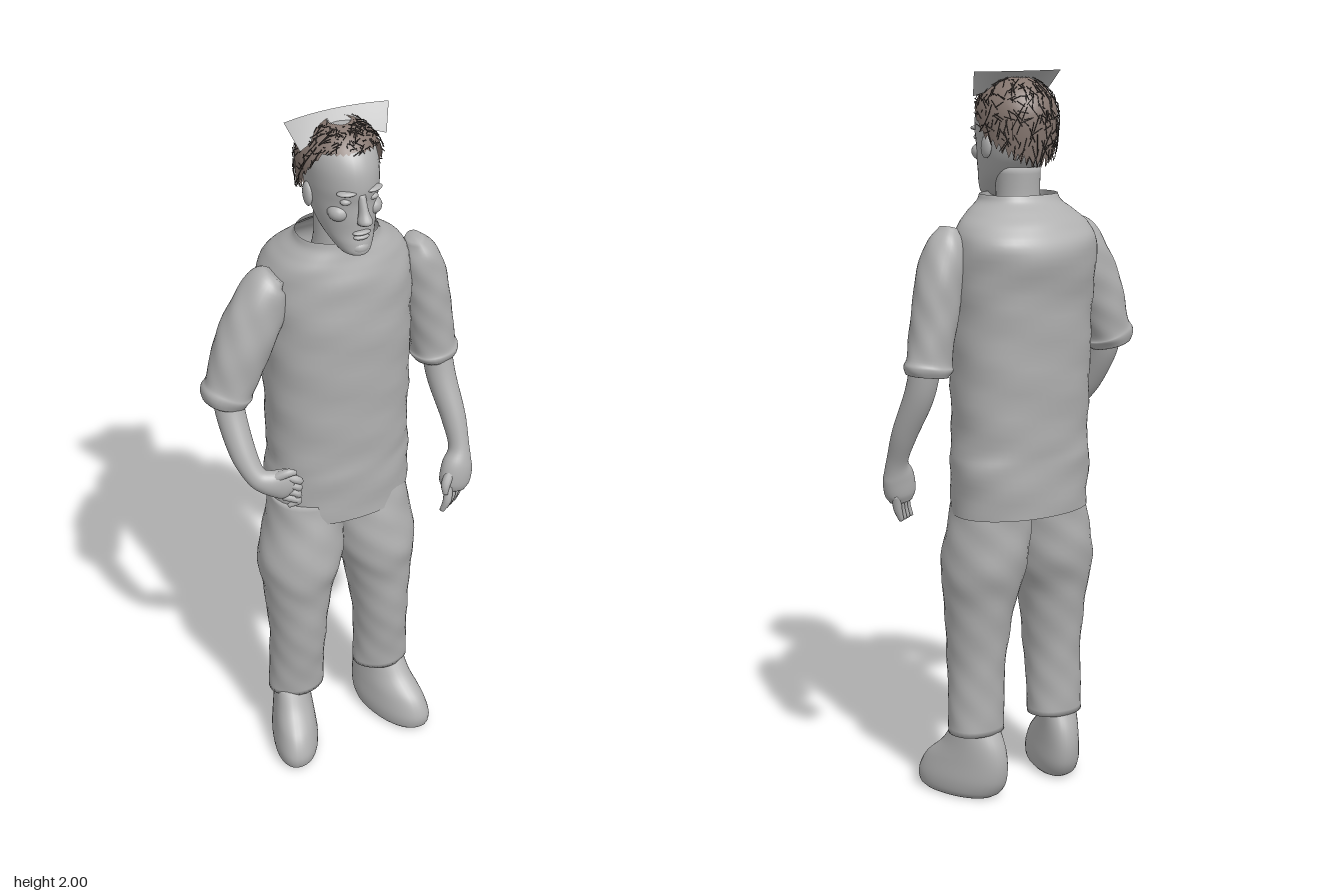
import * as THREE from 'three';
import { mergeGeometries } from 'three/addons/utils/BufferGeometryUtils.js';

const grey = new THREE.MeshStandardMaterial({ color: 0xb0b0b0, side: THREE.DoubleSide });
grey.name = 'clay grey';
const hairMat = new THREE.MeshStandardMaterial({ color: 0x85766f, side: THREE.DoubleSide });
hairMat.name = 'hair brown';
const strandMat = new THREE.MeshStandardMaterial({ color: 0x4a423f });
strandMat.name = 'dark strand';

// Skin rings [x, y, z, radiusA, radiusB] along a smooth path.
// flat keeps the rings horizontal; fold adds soft cloth wrinkles; n squares the ring.
function loft(sections, { flat = false, caps = true, fold = 0, n = 2, rows = 6, sides = 32 } = {}) {
  const path = new THREE.CatmullRomCurve3(sections.map(s => new THREE.Vector3(s[0], s[1], s[2])), false, 'catmullrom');
  const radii = new THREE.CatmullRomCurve3(sections.map(s => new THREE.Vector3(s[3], s[4], 0)), false, 'catmullrom');
  const count = (sections.length - 1) * rows, pos = [], idx = [];
  const up = Math.sign(sections[sections.length - 1][1] - sections[0][1]);
  const ref = new THREE.Vector3(0, 0, 1);
  const pw = v => Math.sign(v) * Math.abs(v) ** (2 / n);
  for (let i = 0; i <= count; i++) {
    const c = path.getPoint(i / count), r = radii.getPoint(i / count);
    const t = flat ? new THREE.Vector3(0, up, 0) : path.getTangent(i / count);
    const u = t.clone().cross(ref).normalize(), v = t.clone().cross(u);
    for (let j = 0; j < sides; j++) {
      const a = j / sides * Math.PI * 2;
      const w = 1 + fold * (Math.sin(40 * c.y + 3 * a) + Math.sin(63 * c.y - 5 * a + 1));
      const p = c.clone().addScaledVector(u, pw(Math.cos(a)) * r.x * w).addScaledVector(v, pw(Math.sin(a)) * r.y * w);
      pos.push(p.x, p.y, p.z);
    }
  }
  for (let i = 0; i < count; i++) for (let j = 0; j < sides; j++) {
    const k = (j + 1) % sides, a = i * sides + j, b = i * sides + k;
    idx.push(a, b, a + sides, b, b + sides, a + sides);
  }
  if (caps) {
    const s = path.getPoint(0), e = path.getPoint(1), m = pos.length / 3, last = count * sides;
    pos.push(s.x, s.y, s.z, e.x, e.y, e.z);
    for (let j = 0; j < sides; j++) {
      const k = (j + 1) % sides;
      idx.push(m, k, j, m + 1, last + j, last + k);
    }
  }
  const g = new THREE.BufferGeometry();
  g.setAttribute('position', new THREE.Float32BufferAttribute(pos, 3));
  g.setIndex(idx);
  g.computeVertexNormals();
  return g;
}

export function createModel() {
  const model = new THREE.Group();
  model.name = 'standingMan';
  const add = (name, geometry, material = grey, parent = model) => {
    const m = new THREE.Mesh(geometry, material);
    m.name = name;
    parent.add(m);
    return m;
  };
  const ball = (name, x, y, z, rx, ry, rz, parent) => {
    const m = add(name, new THREE.SphereGeometry(1, 16, 12), grey, parent);
    m.position.set(x, y, z);
    m.scale.set(rx, ry, rz);
    return m;
  };

  // Long tunic, open at the hem and collar
  add('tunic', loft([
    [0.025, 0.82, -0.01, 0.2, 0.14], [0.025, 0.95, -0.012, 0.207, 0.143], [0.025, 1.02, -0.012, 0.2, 0.143],
    [0.025, 1.2, -0.015, 0.202, 0.15], [0.025, 1.4, -0.018, 0.204, 0.158], [0.025, 1.54, -0.032, 0.205, 0.164],
    [0.022, 1.6, -0.022, 0.185, 0.142], [0.018, 1.635, -0.008, 0.15, 0.118], [0.013, 1.66, 0.005, 0.118, 0.098], [0.012, 1.68, 0.01, 0.108, 0.09],
  ], { flat: true, caps: false, fold: 0.008, n: 2.2, sides: 48 }));

  // Trousers
  add('leftTrouserLeg', loft([
    [0.115, 0.88, 0, 0.1, 0.11], [0.113, 0.8, 0.008, 0.113, 0.117], [0.125, 0.67, 0.02, 0.117, 0.125],
    [0.135, 0.56, 0.027, 0.097, 0.105], [0.144, 0.4, 0.032, 0.08, 0.088], [0.15, 0.28, 0.025, 0.08, 0.075], [0.153, 0.19, 0.02, 0.083, 0.068],
  ], { flat: true, fold: 0.01 }));
  add('rightTrouserLeg', loft([
    [-0.08, 0.88, 0, 0.1, 0.11], [-0.085, 0.8, 0.008, 0.107, 0.117], [-0.105, 0.67, 0.02, 0.119, 0.125],
    [-0.117, 0.56, 0.027, 0.097, 0.105], [-0.12, 0.4, 0.032, 0.081, 0.088], [-0.122, 0.28, 0.025, 0.081, 0.075], [-0.122, 0.19, 0.02, 0.083, 0.068],
  ], { flat: true, fold: 0.01 }));

  // Shoes, with the toes turned outwards
  for (const [name, s, x] of [['rightShoe', -1, -0.13], ['leftShoe', 1, 0.153]]) {
    const g = loft([
      [0, 0, 0.075, 0.056, 0.105], [0, 0.015, 0.072, 0.067, 0.122], [0, 0.05, 0.064, 0.07, 0.132],
      [0, 0.1, 0.048, 0.064, 0.122], [0, 0.15, 0.025, 0.058, 0.09], [0, 0.205, 0.018, 0.054, 0.058],
    ], { flat: true, n: 2.2 });
    const p = g.attributes.position;
    for (let i = 0; i < p.count; i++) p.setX(i, p.getX(i) + s * 0.28 * p.getZ(i));
    g.computeVertexNormals();
    add(name, g).position.x = x;
  }

  // Sleeves
  add('rightSleeve', loft([
    [-0.165, 1.585, 0.02, 0.025, 0.035], [-0.188, 1.56, 0.018, 0.055, 0.06], [-0.222, 1.48, 0.016, 0.076, 0.07],
    [-0.265, 1.38, 0.016, 0.077, 0.07], [-0.298, 1.29, 0.016, 0.066, 0.066], [-0.307, 1.265, 0.016, 0.071, 0.068], [-0.313, 1.24, 0.016, 0.06, 0.058],
  ], { fold: 0.015 }));
  add('leftSleeve', loft([
    [0.232, 1.6, 0.022, 0.02, 0.03], [0.247, 1.55, 0.018, 0.05, 0.058], [0.268, 1.46, 0.016, 0.064, 0.064],
    [0.285, 1.36, 0.016, 0.063, 0.062], [0.302, 1.26, 0.016, 0.062, 0.058], [0.306, 1.235, 0.016, 0.068, 0.063], [0.308, 1.215, 0.016, 0.058, 0.055],
  ], { fold: 0.015 }));

  // Forearms and hands
  add('rightForearm', loft([
    [-0.31, 1.28, 0.02, 0.04, 0.04], [-0.309, 1.21, 0.045, 0.039, 0.04], [-0.3, 1.12, 0.095, 0.035, 0.035],
    [-0.282, 1.065, 0.132, 0.029, 0.027], [-0.255, 1.045, 0.148, 0.034, 0.026], [-0.215, 1.035, 0.16, 0.045, 0.022], [-0.19, 1.03, 0.167, 0.03, 0.015],
  ]));
  add('leftForearm', loft([
    [0.307, 1.26, 0.02, 0.041, 0.042], [0.315, 1.16, 0.045, 0.04, 0.042], [0.33, 1.05, 0.095, 0.034, 0.036],
    [0.332, 0.97, 0.13, 0.029, 0.03], [0.32, 0.92, 0.145, 0.045, 0.035], [0.312, 0.875, 0.15, 0.046, 0.034], [0.308, 0.85, 0.152, 0.034, 0.026],
  ]));
  for (let i = 0; i < 4; i++) {
    const y = 1.06 - i * 0.022, x = 0.335 - i * 0.017;
    add('rightFinger', loft([[-0.215, y, 0.16, 0.011, 0.011], [-0.18, y - 0.012, 0.178, 0.011, 0.011], [-0.168 - i * 0.012, y - 0.03, 0.168, 0.006, 0.006]], { sides: 10 }));
    add('leftFinger', loft([[x, 0.87, 0.135 + i * 0.01, 0.013, 0.013], [x - 0.008, 0.83, 0.14 + i * 0.012, 0.012, 0.012], [x - 0.02, 0.795, 0.14 + i * 0.01, 0.007, 0.007]], { sides: 10 }));
  }
  add('rightThumb', loft([[-0.255, 1.05, 0.15, 0.014, 0.014], [-0.21, 1.075, 0.172, 0.012, 0.012], [-0.185, 1.075, 0.18, 0.006, 0.006]], { sides: 10 }));
  add('leftThumb', loft([[0.3, 0.92, 0.155, 0.014, 0.014], [0.272, 0.885, 0.172, 0.013, 0.013], [0.268, 0.855, 0.178, 0.007, 0.007]], { sides: 10 }));

  // Neck and head
  const head = new THREE.Group();
  head.name = 'head';
  head.position.x = 0.01;
  model.add(head);
  add('neck', loft([[0, 1.58, 0, 0.08, 0.07], [0, 1.65, 0.015, 0.062, 0.06], [0, 1.75, 0.015, 0.058, 0.062]], { flat: true }), grey, head);
  add('skull', loft([
    [0, 1.665, 0.12, 0.02, 0.025], [0, 1.675, 0.115, 0.038, 0.048], [0, 1.7, 0.095, 0.055, 0.067], [0, 1.73, 0.07, 0.069, 0.087],
    [0, 1.77, 0.05, 0.08, 0.108], [0, 1.81, 0.04, 0.086, 0.118], [0, 1.85, 0.038, 0.089, 0.125],
    [0, 1.9, 0.035, 0.088, 0.12], [0, 1.94, 0.03, 0.077, 0.1], [0, 1.968, 0.025, 0.05, 0.06], [0, 1.975, 0.025, 0.01, 0.01],
  ], { flat: true }), grey, head);
  add('nose', loft([[0, 1.84, 0.156, 0.009, 0.01], [0, 1.8, 0.168, 0.012, 0.016], [0, 1.775, 0.176, 0.019, 0.022], [0, 1.762, 0.165, 0.014, 0.014]], { flat: true, sides: 16 }), grey, head);
  ball('upperLip', 0, 1.735, 0.158, 0.025, 0.006, 0.011, head);
  ball('lowerLip', 0, 1.722, 0.156, 0.022, 0.007, 0.011, head);
  ball('chin', 0, 1.69, 0.148, 0.025, 0.018, 0.018, head);
  for (const s of [-1, 1]) {
    ball('brow', s * 0.037, 1.846, 0.148, 0.026, 0.007, 0.015, head).rotation.y = s * 0.3;
    ball('eye', s * 0.036, 1.822, 0.143, 0.016, 0.009, 0.012, head);
    ball('cheek', s * 0.045, 1.785, 0.118, 0.028, 0.024, 0.03, head);
    ball('ear', s * 0.09, 1.805, 0.035, 0.011, 0.032, 0.02, head).rotation.x = -0.15;
  }

  // Short hair: a shell reaching low at the nape and high over the forehead
  const hairPoint = (phi, f, lift = 0) => {
    const front = Math.sin(phi);
    const low = front > 0 ? 1.83 + 0.105 * Math.min(1, front * 1.6) : 1.83 + 0.08 * front;
    const h = 1.985 + (low - 1.985) * f ** 1.6;
    const k = (h - 1.88) / 0.108;
    const r = (h > 1.88 ? Math.sqrt(Math.max(0, 1 - k * k)) : 1 - 0.1 * k * k) + lift;
    return new THREE.Vector3(Math.cos(phi) * 0.108 * r, h + lift * 0.06, 0.028 + front * 0.122 * r);
  };
  const shell = new THREE.SphereGeometry(1, 40, 14);
  const sp = shell.attributes.position, uv = shell.attributes.uv;
  for (let i = 0; i < sp.count; i++) {
    const p = hairPoint(uv.getX(i) * Math.PI * 2, 1 - uv.getY(i));
    sp.setXYZ(i, -p.x, p.y, p.z);
  }
  shell.computeVertexNormals();
  add('hairShell', shell, hairMat, head);

  // Loose strands lying across the hair
  let seed = 7;
  const rnd = () => (seed = (seed * 16807) % 2147483647) / 2147483647;
  const strands = [];
  for (let i = 0; i < 420; i++) {
    const phi = rnd() * Math.PI * 2, f = 0.1 + rnd() * 0.85;
    const a = hairPoint(phi, f, 0.03), b = hairPoint(phi + (rnd() - 0.5) * 0.5, Math.min(1, f + (rnd() - 0.3) * 0.3), 0.05);
    const g = new THREE.CylinderGeometry(0.0013, 0.0013, a.distanceTo(b), 3);
    g.applyQuaternion(new THREE.Quaternion().setFromUnitVectors(new THREE.Vector3(0, 1, 0), b.clone().sub(a).normalize()));
    const m = a.add(b).multiplyScalar(0.5);
    strands.push(g.translate(m.x, m.y, m.z));
  }
  add('hairStrands', mergeGeometries(strands), strandMat, head);

  // Thin upright band arched across the crown
  const band = new THREE.PlaneGeometry(1, 1, 24, 2), bp = band.attributes.position;
  for (let i = 0; i < bp.count; i++) {
    const s = bp.getX(i) * 2, t = bp.getY(i) + 0.5;
    bp.setXYZ(i, s * (0.118 + 0.025 * t), 1.935 + 0.065 * t + 0.02 * (1 - s * s) * (1 - t), 0.035 - 0.04 * t + 0.02 * s * s);
  }
  band.computeVertexNormals();
  add('crownBand', band, grey, head);
  return model;
}
